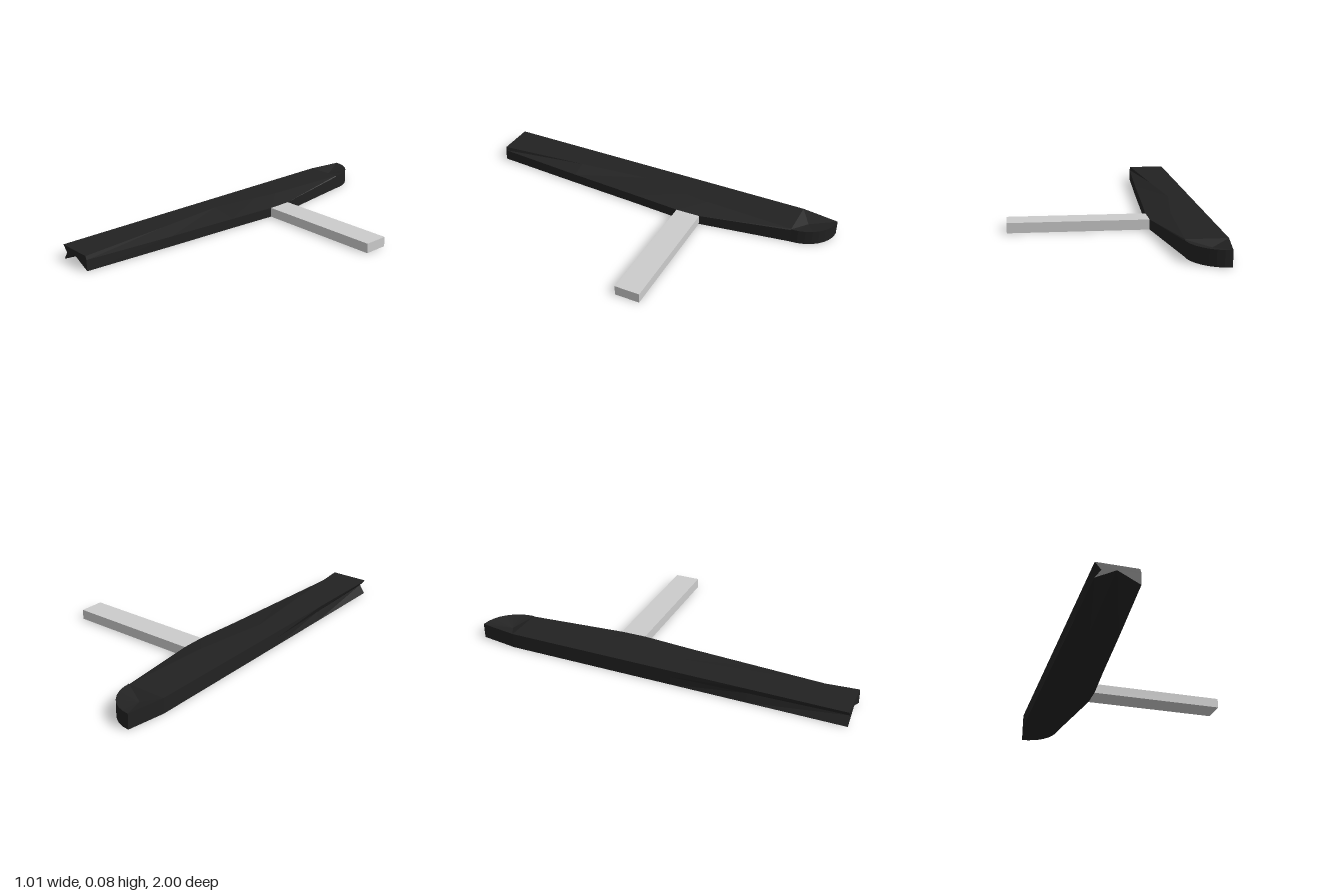
import * as THREE from 'three';

const LEFT = -0.51, TOP = 0.08;

// Facetted mesh from a list of corner triples
function facetMesh(name, triangles, material) {
  const geometry = new THREE.BufferGeometry();
  geometry.setAttribute('position', new THREE.Float32BufferAttribute(triangles.flat(2), 3));
  geometry.computeVertexNormals();
  const mesh = new THREE.Mesh(geometry, material);
  mesh.name = name;
  return mesh;
}

// One cross-section of the body, counter-clockwise seen from the front
function section({ z, edge, edgeTop, ridge, hollow, dent }) {
  return [
    [LEFT, 0, z], [-0.41, hollow, z], [edge, 0, z], [edge, edgeTop, z],
    [ridge, TOP, z], [LEFT, TOP, z], [LEFT + dent, 0.045, z],
  ];
}

// Long body: side bulges to meet the arm, underside is notched at the front
function createBody(material) {
  const rings = [
    { z: 1.0, edge: -0.3, edgeTop: 0.06, ridge: -0.305, hollow: 0.055, dent: 0.03 },
    { z: 0.5, edge: -0.265, edgeTop: 0.055, ridge: -0.35, hollow: 0, dent: 0.015 },
    { z: 0.1, edge: -0.24, edgeTop: 0.053, ridge: -0.39, hollow: 0, dent: 0 },
    { z: -0.17, edge: -0.22, edgeTop: 0.053, ridge: -0.35, hollow: 0, dent: 0 },
    { z: -0.305, edge: -0.222, edgeTop: 0.053, ridge: -0.33, hollow: 0, dent: 0 },
    { z: -0.8, edge: -0.3, edgeTop: 0.075, ridge: -0.305, hollow: 0, dent: 0 },
  ].map(section);
  const triangles = [];
  for (let r = 0; r < rings.length - 1; r++) {
    const front = rings[r], back = rings[r + 1];
    front.forEach((a, i) => {
      const j = (i + 1) % front.length;
      triangles.push([a, back[i], back[j]], [a, back[j], front[j]]);
    });
  }
  // Front end face
  const face = rings[0];
  const outline = face.map(([x, y]) => new THREE.Vector2(x, y));
  for (const [a, b, c] of THREE.ShapeUtils.triangulateShape(outline, [])) {
    triangles.push([face[a], face[b], face[c]]);
  }
  return facetMesh('body', triangles, material);
}

// Rounded back end with an upright wall and a dished top
function createRoundedEnd(material) {
  const outline = [[LEFT, -0.8], [-0.3, -0.8]];
  for (let i = 1; i <= 8; i++) {
    const a = (i / 8) * Math.PI / 2;
    outline.push([-0.48 + 0.18 * Math.cos(a), -0.8 - 0.2 * Math.sin(a)]);
  }
  const dish = [-0.42, 0.055, -0.86], base = [-0.42, 0, -0.86];
  const triangles = [];
  outline.forEach(([px, pz], i) => {
    const [qx, qz] = outline[(i + 1) % outline.length];
    const p0 = [px, 0, pz], p1 = [px, TOP, pz], q0 = [qx, 0, qz], q1 = [qx, TOP, qz];
    triangles.push([p1, q1, dish], [q0, p0, base], [p0, q0, q1], [p0, q1, p1]);
  });
  return facetMesh('roundedEnd', triangles, material);
}

export function createModel() {
  const group = new THREE.Group();
  const dark = new THREE.MeshStandardMaterial({ color: 0x222222, flatShading: true });
  const grey = new THREE.MeshStandardMaterial({ color: 0xcccccc });
  group.add(createBody(dark), createRoundedEnd(dark));

  // Straight side arm
  const arm = new THREE.Mesh(new THREE.BoxGeometry(0.73, 0.053, 0.135), grey);
  arm.position.set(0.14, 0.0265, -0.238);
  arm.name = 'arm';
  group.add(arm);
  return group;
}
